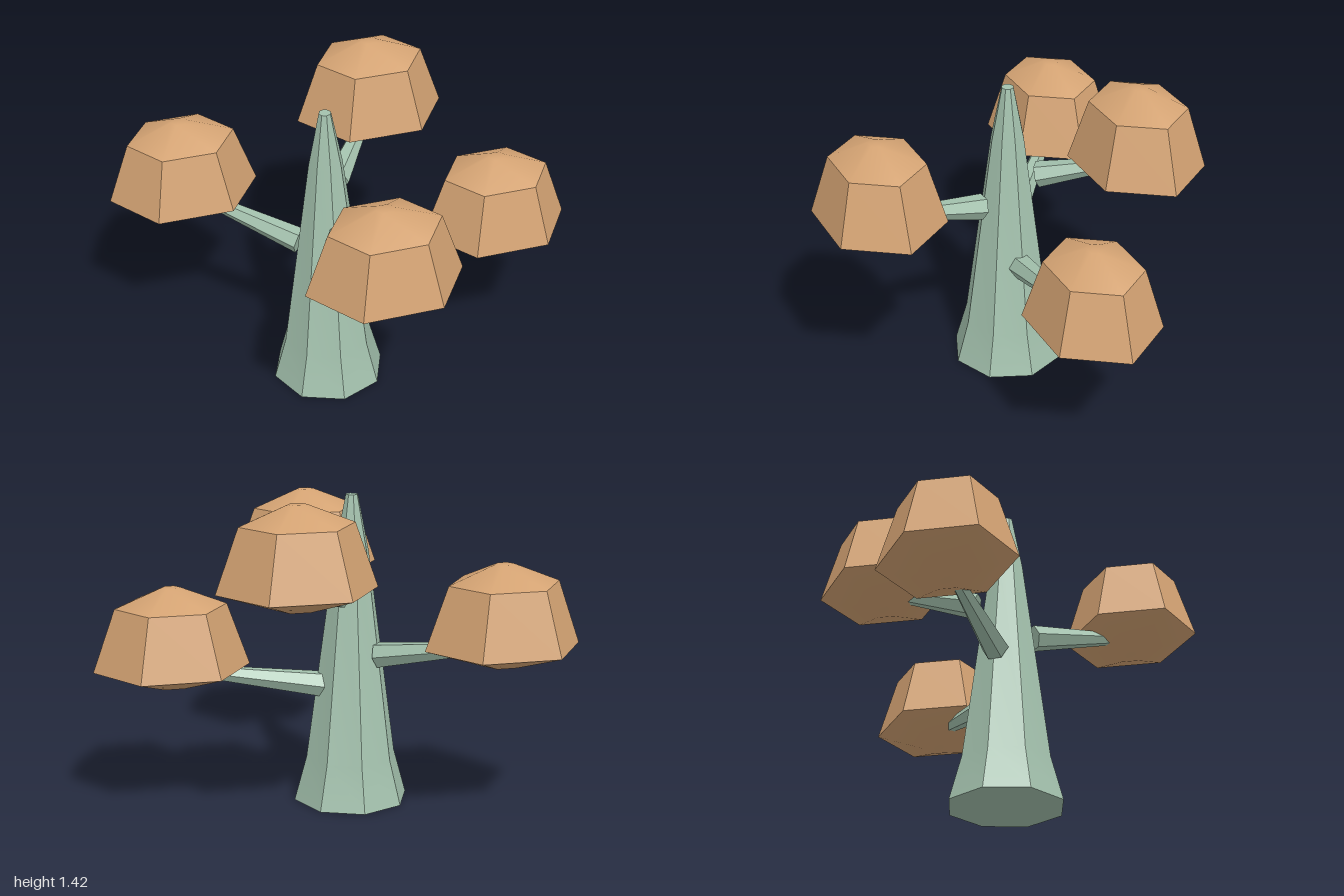
import * as THREE from 'three';
import { toCreasedNormals } from 'three/addons/utils/BufferGeometryUtils.js';

const CREASE = 0.56;
const TRUNK = { x: -0.133, z: -0.08 };

// Foliage cap centres: x, rim height, z
const CAPS = [
  [0.657, 0.645, -0.08],
  [-0.66, 0.785, -0.565],
  [-0.075, 0.925, 0.556],
  [0.208, 1.065, -0.528],
];

// Faceted solid of revolution from [radius, height] pairs, bottom to top
function turned(profile, sides) {
  return new THREE.LatheGeometry(profile.map(([r, y]) => new THREE.Vector2(r, y)), sides);
}

function addMesh(parent, name, geometry, material) {
  const mesh = new THREE.Mesh(toCreasedNormals(geometry, CREASE), material);
  mesh.name = name;
  parent.add(mesh);
  return mesh;
}

// Six-sided tapered limb with a level top face
function limb(start, end, r0, r1) {
  const dir = end.clone().sub(start);
  const length = dir.length();
  dir.normalize();
  const side = new THREE.Vector3(-dir.z, 0, dir.x).normalize();
  const across = dir.clone().cross(side);
  const basis = new THREE.Matrix4().makeBasis(across, dir, side);
  return new THREE.CylinderGeometry(r1, r0, length, 6)
    .applyMatrix4(basis)
    .translate((start.x + end.x) / 2, (start.y + end.y) / 2, (start.z + end.z) / 2);
}

export function createModel() {
  const model = new THREE.Group();
  model.name = 'tree';

  const bark = new THREE.MeshStandardMaterial({ color: 0xa3c1ad });
  bark.name = 'pale green bark';
  const leaf = new THREE.MeshStandardMaterial({ color: 0xd4a373 });
  leaf.name = 'tan foliage';

  // Eight-sided trunk, flared at the foot
  const trunk = turned(
    [[0, 0], [0.255, 0], [0.2, 0.2], [0.076, 1.12], [0.027, 1.367], [0, 1.367]], 8);
  trunk.translate(TRUNK.x, 0, TRUNK.z);
  addMesh(model, 'trunk', trunk, bark);

  CAPS.forEach(([x, y, z], i) => {
    // Branch from the trunk surface into the cap
    const out = new THREE.Vector3(x - TRUNK.x, 0, z - TRUNK.z).normalize();
    const start = new THREE.Vector3(TRUNK.x, y - 0.115, TRUNK.z).addScaledVector(out, 0.133);
    const end = new THREE.Vector3(x, y, z);
    addMesh(model, `branch${i + 1}`, limb(start, end, 0.058, 0.021), bark);

    // Hexagonal foliage cap, flattened front to back
    const cap = turned(
      [[0, -0.078], [0.085, -0.078], [0.338, 0], [0.241, 0.273], [0.04, 0.355], [0, 0.355]], 6);
    cap.rotateY(Math.PI / 2).scale(1, 1, 0.833).translate(x, y, z);
    addMesh(model, `foliage${i + 1}`, cap, leaf);
  });

  return model;
}
